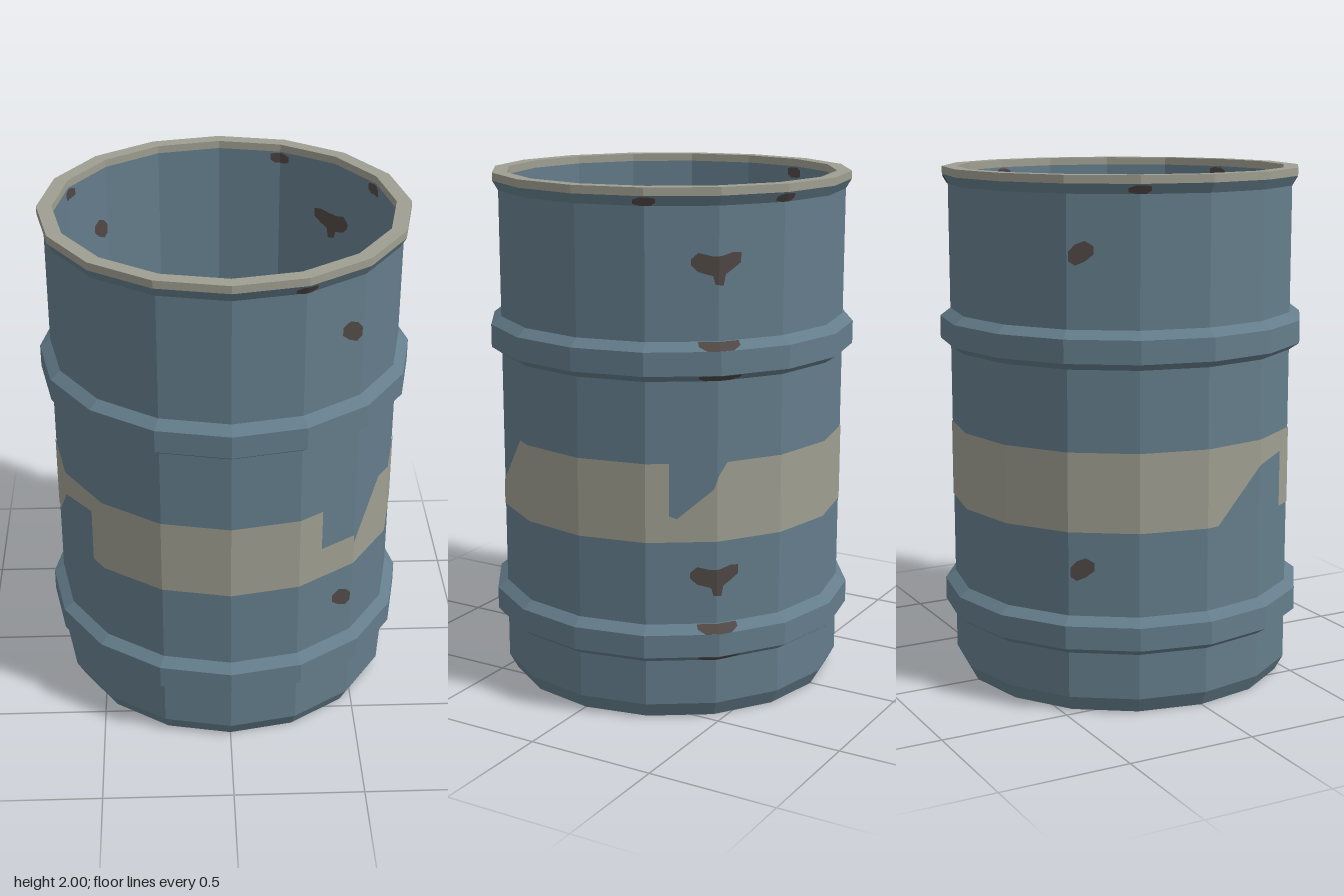
import * as THREE from 'three';

const SIDES = 16;
const mat = (name, color) => {
  const m = new THREE.MeshStandardMaterial({ color });
  m.name = name;
  return m;
};

// Outer silhouette of the drum, bottom to top: [radius, height]
const ring = (y) => [[0.675, y], [0.715, y + 0.027], [0.715, y + 0.115], [0.675, y + 0.145]];
const OUTER = [
  [0, 0], [0.643, 0], [0.675, 0.06],
  ...ring(0.235), ...ring(1.305),
  [0.675, 1.933], [0.697, 1.97],
];
const INNER_R = 0.64;

// Outer radius at a given height
function radiusAt(y) {
  for (let i = 2; i < OUTER.length; i++) {
    const [r0, y0] = OUTER[i - 1], [r1, y1] = OUTER[i];
    if (y <= y1) return r0 + (r1 - r0) * (y - y0) / (y1 - y0);
  }
  return OUTER[OUTER.length - 1][0];
}

// Point on the sixteen-sided wall; u counts sides from the front towards +x
function wallPoint(u, y, r) {
  const k = Math.floor(u), t = u - k, step = (Math.PI * 2) / SIDES;
  const a = k * step, b = a + step;
  return [
    r * (Math.sin(a) * (1 - t) + Math.sin(b) * t), y,
    r * (Math.cos(a) * (1 - t) + Math.cos(b) * t),
  ];
}

// Painted patch from columns [u, low, high], split where it crosses a wall edge
function patchGeometry(columns, inside = false) {
  const cols = [columns[0]];
  for (let i = 1; i < columns.length; i++) {
    const a = columns[i - 1], b = columns[i];
    for (let k = Math.floor(a[0]) + 1; k < b[0]; k++) {
      const t = (k - a[0]) / (b[0] - a[0]);
      cols.push([k, a[1] + (b[1] - a[1]) * t, a[2] + (b[2] - a[2]) * t]);
    }
    cols.push(b);
  }
  const point = (u, y) => wallPoint(u, y, inside ? INNER_R - 0.003 : radiusAt(y) + 0.003);
  const pos = [];
  for (let i = 1; i < cols.length; i++) {
    const [u0, l0, h0] = cols[i - 1], [u1, l1, h1] = cols[i];
    if (u1 - u0 < 1e-6) continue;
    const a = point(u0, l0), b = point(u1, l1), c = point(u1, h1), d = point(u0, h0);
    const tris = inside ? [a, c, b, a, d, c] : [a, b, c, a, c, d];
    tris.forEach((p) => pos.push(...p));
  }
  const g = new THREE.BufferGeometry();
  g.setAttribute('position', new THREE.Float32BufferAttribute(pos, 3));
  g.computeVertexNormals();
  return g;
}

export function createModel() {
  const blue = mat('blue paint', 0x647d8b);
  const beige = mat('beige paint', 0x9f9e91);
  const rust = mat('rust', 0x504845);
  const grey = mat('dark grey floor', 0x4e4e4e);
  [blue, beige, rust, grey].forEach((m) => { m.flatShading = true; });

  const model = new THREE.Group();
  model.name = 'barrel';
  const add = (name, geometry, material) => {
    const mesh = new THREE.Mesh(geometry, material);
    mesh.name = name;
    model.add(mesh);
  };
  const lathe = (pts) =>
    new THREE.LatheGeometry(pts.map(([r, y]) => new THREE.Vector2(r, y)), SIDES).toNonIndexed();

  // Drum shell, rim, inner wall and floor
  add('outerShell', lathe(OUTER), blue);
  add('rim', lathe([[0.697, 1.97], [0.697, 2], [INNER_R, 2], [INNER_R, 1.97]]), beige);
  add('innerWall', lathe([[INNER_R, 1.97], [INNER_R, 0.05]]), blue);
  add('innerFloor', lathe([[INNER_R, 0.05], [0, 0.05]]), grey);

  // Painted band with three chipped notches
  add('paintedBand', patchGeometry([
    [0, 0.7, 1], [1.4, 0.7, 1], [1.4, 0.7, 0.83], [2, 0.7, 0.83], [2, 0.7, 0.795], [2.7, 0.7, 1],
    [5.33, 0.7, 1], [5.33, 0.7, 0.8], [5.44, 0.7, 0.79], [5.95, 0.7, 0.9], [6.02, 0.7, 0.95], [6.15, 0.7, 1],
    [12.2, 0.7, 1], [13, 0.9, 1], [13.7, 0.92, 1], [13.7, 0.7, 1], [16, 0.7, 1],
  ]), beige);

  // Rust spots, repeated on the outer and inner faces of the wall
  const spot = [[1.63, 1.72, 1.75], [1.75, 1.695, 1.768], [1.88, 1.68, 1.755], [1.97, 1.695, 1.73]];
  const mirrored = spot.map(([u, l, h]) => [12 - u, l, h]).reverse();
  const heart = [
    [5.62, 1.725, 1.745], [5.72, 1.7, 1.768], [5.92, 1.685, 1.755], [5.95, 1.655, 1.755],
    [6.07, 1.65, 1.757], [6.1, 1.69, 1.76], [6.22, 1.71, 1.768], [6.33, 1.73, 1.765],
  ];
  for (const shape of [spot, mirrored, heart]) {
    for (const drop of [0, 1.165]) {
      const cols = shape.map(([u, l, h]) => [u, l - drop, h - drop]);
      add('rustSpot', patchGeometry(cols), rust);
      add('innerRustSpot', patchGeometry(cols, true), rust);
    }
  }

  // Rust under the rim
  for (const u of [1, 5, 7, 11]) {
    const cols = [[u - 0.16, 1.94, 1.955], [u - 0.06, 1.934, 1.965], [u + 0.08, 1.934, 1.965], [u + 0.15, 1.945, 1.96]];
    add('rimRust', patchGeometry(cols), rust);
    add('innerRimRust', patchGeometry(cols.map(([c, l, h]) => [c, l - 0.01, h]), true), rust);
  }

  // Rust on the sloped edges of both rings
  for (const y of [0.235, 1.305]) {
    for (const [lo, hi] of [[y + 0.001, y + 0.026], [y + 0.116, y + 0.144]]) {
      const mid = (lo + hi) / 2;
      add('ringRust', patchGeometry([[5.72, mid, hi], [5.82, lo, hi], [6.18, lo, hi], [6.3, mid, hi]]), rust);
    }
  }
  return model;
}
